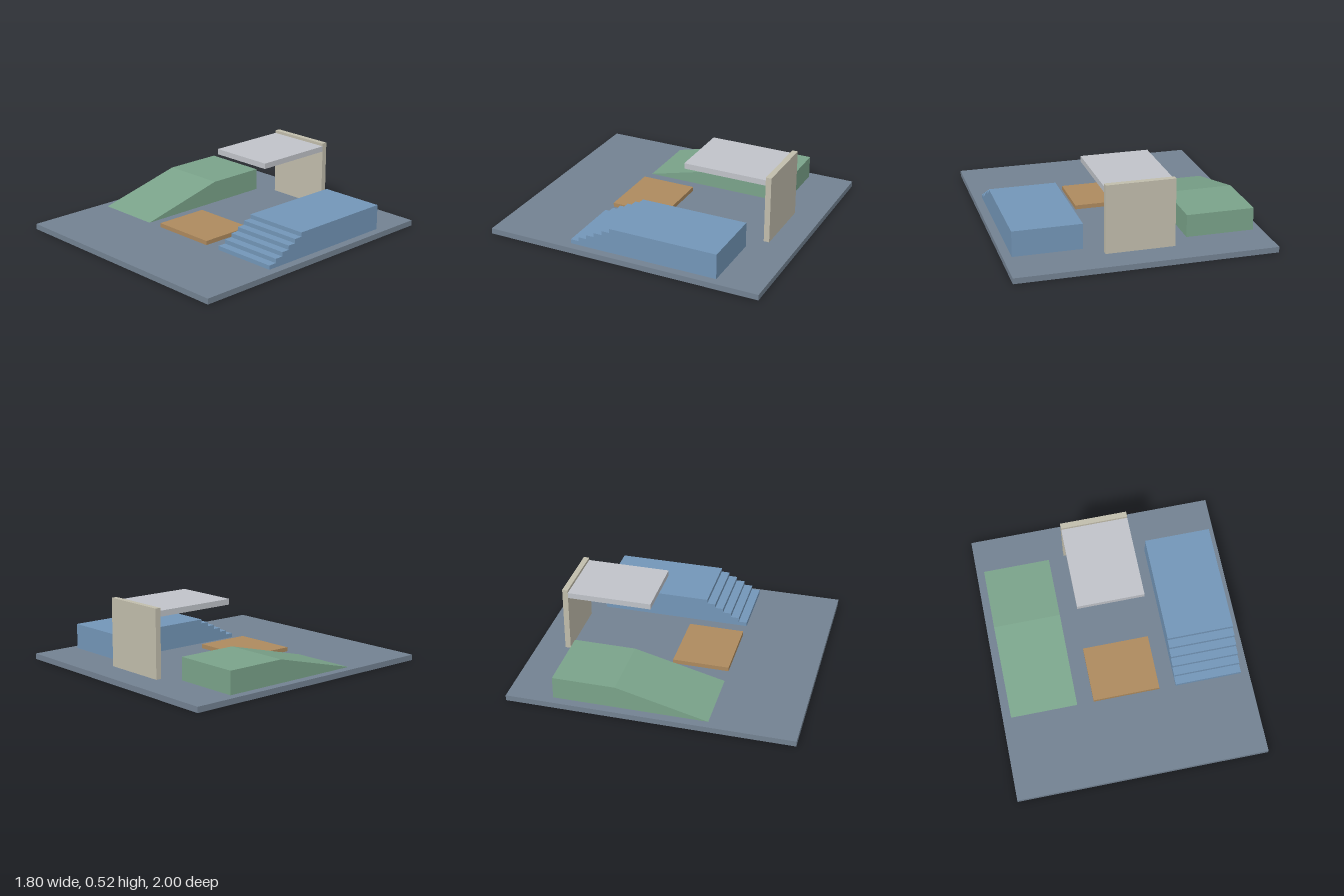
import * as THREE from 'three';

export function createModel() {
  const model = new THREE.Group();
  model.name = 'skatePark';

  const material = (name, color) => {
    const m = new THREE.MeshStandardMaterial({ color });
    m.name = name;
    return m;
  };
  const slate = material('slate', 0x738292);
  const blue = material('blue', 0x7396b8);
  const green = material('green', 0x7aa38a);
  const orange = material('orange', 0xad8a5e);
  const silver = material('silver', 0xc0c3c9);
  const sand = material('sand', 0xc1bdac);

  // Box given by its extents on each axis
  const block = (name, mat, [x0, x1], [y0, y1], [z0, z1]) => {
    const mesh = new THREE.Mesh(new THREE.BoxGeometry(x1 - x0, y1 - y0, z1 - z0), mat);
    mesh.position.set((x0 + x1) / 2, (y0 + y1) / 2, (z0 + z1) / 2);
    mesh.name = name;
    model.add(mesh);
  };

  // Side profile of [z, y] points, extruded across x
  const prism = (name, mat, profile, x0, x1) => {
    const shape = new THREE.Shape(profile.map(([z, y]) => new THREE.Vector2(-z, y)));
    const geometry = new THREE.ExtrudeGeometry(shape, { depth: x1 - x0, bevelEnabled: false });
    geometry.rotateY(Math.PI / 2);
    const mesh = new THREE.Mesh(geometry, mat);
    mesh.position.x = x0;
    mesh.name = name;
    model.add(mesh);
  };

  const floor = 0.04;
  const middle = [-0.24, 0.24];

  // Ground slab and low pad
  block('base', slate, [-0.9, 0.9], [0, floor], [-1, 1]);
  block('pad', orange, middle, [floor, 0.07], [0, 0.4]);

  // Back wall with cantilevered canopy
  block('backWall', sand, middle, [floor, 0.52], [-0.8, -0.76]);
  block('canopy', silver, middle, [0.46, 0.5], [-0.76, -0.16]);

  // Ramp with flat deck behind the slope
  prism('ramp', green, [[0.4, floor], [-0.24, 0.2], [-0.68, 0.2], [-0.68, floor]], -0.84, -0.36);

  // Six steps rising to a platform
  const steps = [];
  for (let i = 0; i < 6; i++) {
    const z = 0.4 - i * 0.06;
    steps.push([z, floor + i * 0.03], [z, floor + (i + 1) * 0.03]);
  }
  steps.push([-0.68, 0.22], [-0.68, floor]);
  prism('stairPlatform', blue, steps, 0.36, 0.84);

  return model;
}
